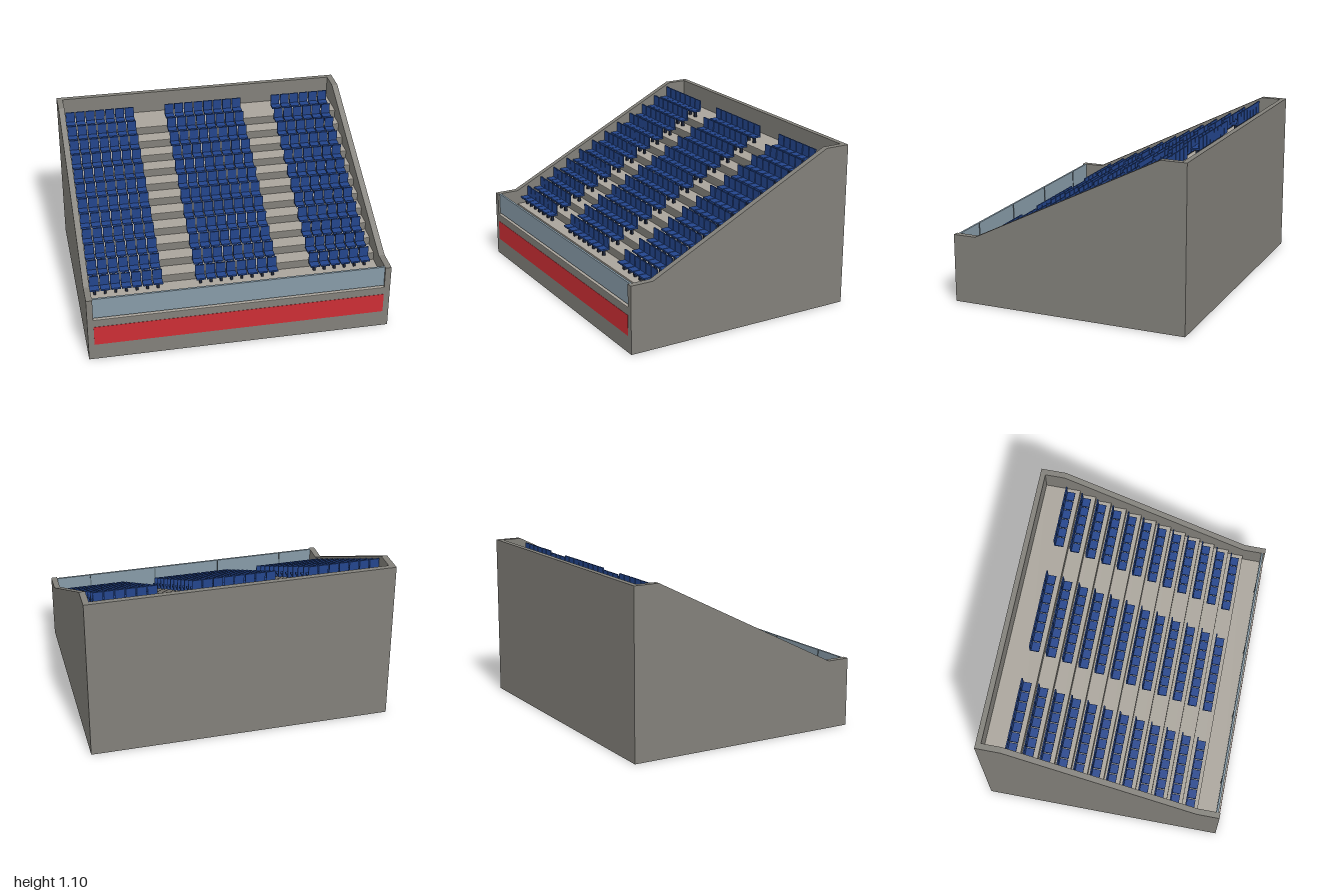
import * as THREE from 'three';
import { mergeGeometries } from 'three/addons/utils/BufferGeometryUtils.js';

const mat = (name, color) => new THREE.MeshStandardMaterial({ name, color });

const ROWS = 12, RUN = 0.1067, RISE = 0.0535;
const FRONT_Z = 0.8, BACK_Z = -0.765, INNER = 0.96;
const FLOOR_Y = 0.303, FIRST_Z = 0.646, PLATE = 0.004;

// Box given by its min and max corners
function box(x0, x1, y0, y1, z0, z1) {
  return new THREE.BoxGeometry(x1 - x0, y1 - y0, z1 - z0)
    .translate((x0 + x1) / 2, (y0 + y1) / 2, (z0 + z1) / 2);
}

// Extrude a (z, y) profile across x, from x0 to x1
function acrossX(points, x0, x1) {
  const shape = new THREE.Shape(points.map(([z, y]) => new THREE.Vector2(z, y)));
  return new THREE.ExtrudeGeometry(shape, { depth: x1 - x0, bevelEnabled: false })
    .rotateY(-Math.PI / 2).translate(x1, 0, 0);
}

export function createModel() {
  const group = new THREE.Group();
  group.name = 'grandstand';
  const concrete = mat('concrete', 0x82807a);
  const paving = mat('pale paving', 0xaaa59c);
  const seatBlue = mat('seat blue', 0x23458c);
  const legDark = mat('dark legs', 0x1c2438);
  const red = mat('red banner', 0xcc2e35);
  const glass = mat('glass', 0x879ba8);
  const metal = mat('post metal', 0x55636b);

  const add = (name, geometry, material) => {
    const mesh = new THREE.Mesh(geometry, material);
    mesh.name = name;
    group.add(mesh);
  };

  // Side walls follow the slope of the stand
  const wall = [[0.8, 0], [0.8, 0.455], [0.646, 0.455], [-0.63, 1.095], [-0.8, 1.095], [-0.8, 0]];
  add('leftWall', acrossX(wall, INNER, 1), concrete);
  add('rightWall', acrossX(wall, -1, -INNER), concrete);
  add('backWall', box(-INNER, INNER, 0, 1.095, -0.8, BACK_Z), concrete);

  // Stepped body, with a pale plate on every tread
  const steps = [[BACK_Z, 0], [FRONT_Z, 0], [FRONT_Z, FLOOR_Y - PLATE]];
  const treads = [box(-INNER, INNER, FLOOR_Y - PLATE, FLOOR_Y, FIRST_Z, FRONT_Z)];
  for (let i = 0; i < ROWS; i++) {
    const z = FIRST_Z - i * RUN;
    const y = FLOOR_Y + (i + 1) * RISE;
    const zEnd = i === ROWS - 1 ? BACK_Z : z - RUN;
    steps.push([z, y - RISE - PLATE], [z, y - PLATE]);
    treads.push(box(-INNER, INNER, y - PLATE, y, zEnd, z));
  }
  steps.push([BACK_Z, FLOOR_Y + ROWS * RISE - PLATE]);
  add('terraceSteps', acrossX(steps, -INNER, INNER), concrete);
  add('treads', mergeGeometries(treads), paving);

  // Front banner and glass balustrade
  add('banner', box(-INNER, INNER, 0.113, 0.25, FRONT_Z, FRONT_Z + 0.002), red);
  add('balustrade', box(-INNER, INNER, 0.311, 0.455, 0.773, 0.787), glass);
  const posts = [-0.717, -0.239, 0.239, 0.717].map(
    (x) => box(x - 0.003, x + 0.003, FLOOR_Y, 0.453, 0.769, 0.773));
  add('balustradePosts', mergeGeometries(posts), metal);

  // Seats in three blocks: first seat centre and seat count
  const blocks = [[-0.924, 7], [-0.229, 8], [0.536, 6]];
  const pans = [], backs = [], legs = [];
  for (let row = 0; row < ROWS; row++) {
    const y = FLOOR_Y + (row + 1) * RISE;
    const z = 0.591 - row * RUN;
    for (const [start, count] of blocks) {
      for (let i = 0; i < count; i++) {
        const x = start + i * 0.0689;
        pans.push(box(x - 0.031, x + 0.031, y + 0.042, y + 0.053, z - 0.022, z + 0.031));
        backs.push(box(x - 0.031, x + 0.031, y + 0.042, y + 0.124, z - 0.031, z - 0.022));
        legs.push(box(x - 0.008, x + 0.008, y, y + 0.042, z - 0.012, z + 0.006));
      }
    }
  }
  add('seatPans', mergeGeometries(pans), seatBlue);
  add('seatBacks', mergeGeometries(backs), seatBlue);
  add('seatLegs', mergeGeometries(legs), legDark);

  return group;
}
